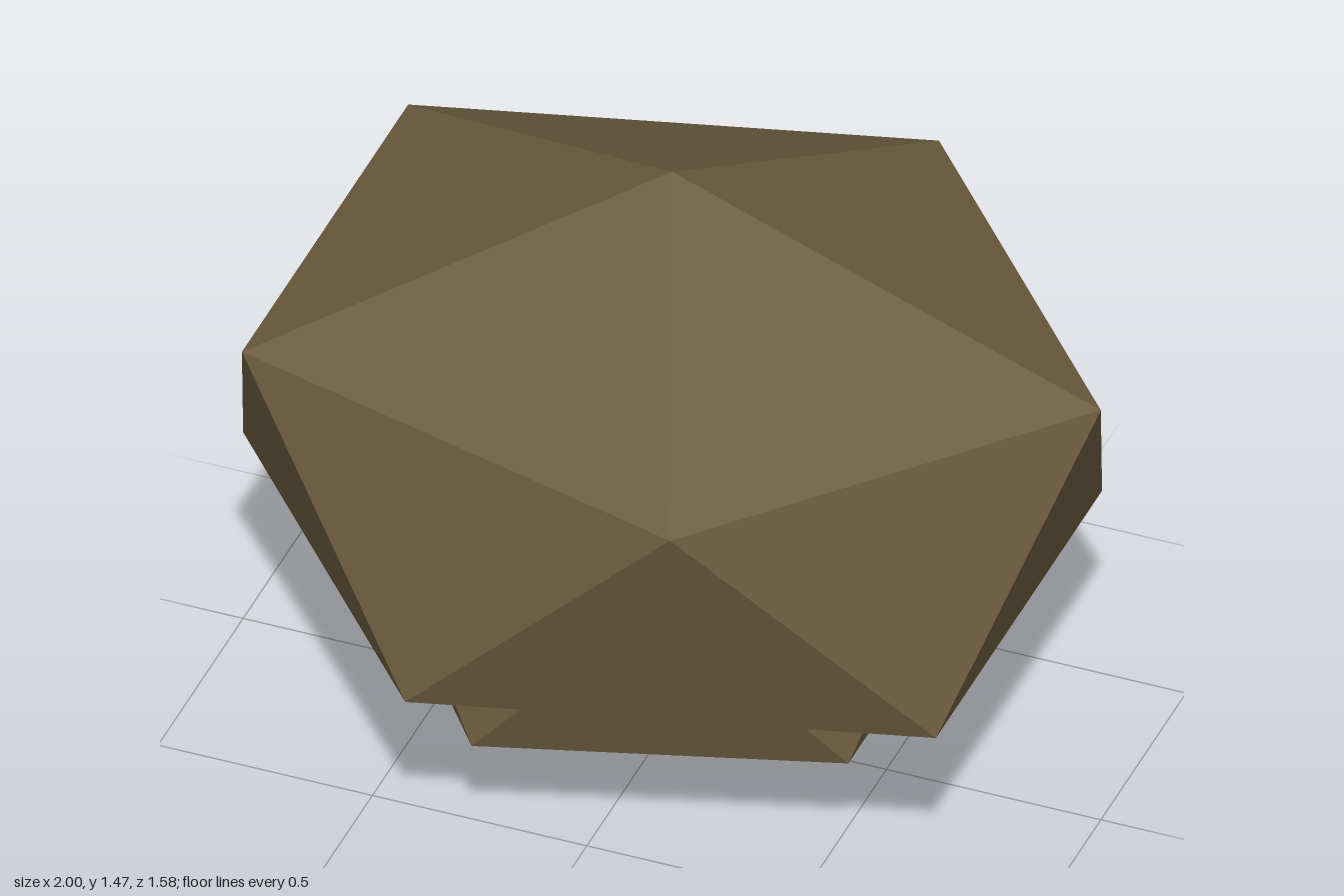
import * as THREE from 'three';
import { ConvexGeometry } from 'three/addons/geometries/ConvexGeometry.js';

// Twenty-sided boulder standing on one corner, stretched along each axis.
// rx, rz: ring radii; h: apex height above the centre; ring: ring height above the centre
function boulder(name, material, rx, rz, h, ring, centreY) {
  const points = [new THREE.Vector3(0, h, 0), new THREE.Vector3(0, -h, 0)];
  for (let i = 0; i < 10; i++) {
    const a = (i * Math.PI) / 5;
    points.push(new THREE.Vector3(rx * Math.cos(a), i % 2 ? -ring : ring, rz * Math.sin(a)));
  }
  const mesh = new THREE.Mesh(new ConvexGeometry(points), material);
  mesh.name = name;
  mesh.position.y = centreY;
  return mesh;
}

export function createModel() {
  const group = new THREE.Group();
  group.name = 'rock';
  const stone = new THREE.MeshStandardMaterial({ color: 0x6b5b3f });
  stone.name = 'brown stone';

  // Large upper boulder, sunk over the smaller one below it
  group.add(boulder('upperBoulder', stone, 1, 0.83, 0.67, 0.3, 0.8));
  group.add(boulder('lowerBoulder', stone, 0.7, 0.665, 0.543, 0.243, 0.543));
  return group;
}
